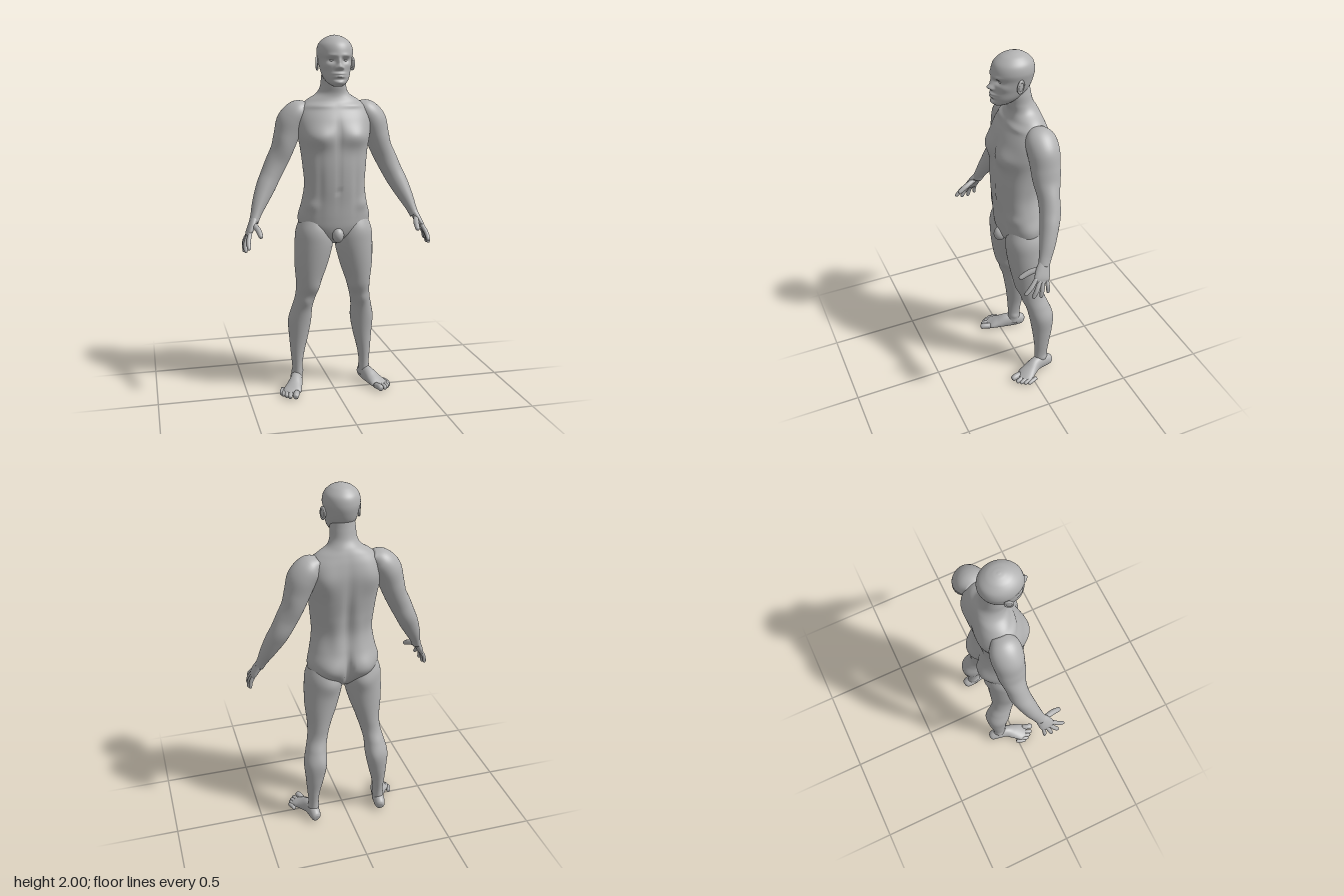
import * as THREE from 'three';

const skin = new THREE.MeshStandardMaterial({ color: 0xb2b2b2 });
skin.name = 'skin grey';

const X = new THREE.Vector3(1, 0, 0), Y = new THREE.Vector3(0, 1, 0), Z = new THREE.Vector3(0, 0, 1);
const shaped = (c, e) => Math.sign(c) * Math.pow(Math.abs(c), 2 / e);

// Smooth loft through sections [x, y, z, halfWidth, halfDepth, roundness = 2].
// bumps [x, y, z, sx, sy, sz, amount] swell or dent the skin, mirrored about x = 0.
function loft(sections, { rows = 40, segs = 32, ref = Z, level = false, side = 1, bumps = [] } = {}) {
  const centre = new THREE.CatmullRomCurve3(sections.map(s => new THREE.Vector3(s[0], s[1], s[2])), false, 'catmullrom');
  const size = new THREE.CatmullRomCurve3(sections.map(s => new THREE.Vector3(s[3], s[4], s[5] ?? 2)), false, 'catmullrom');
  const pos = [], index = [];
  for (let i = 0; i <= rows + 2; i++) {
    const t = Math.min(Math.max((i - 1) / rows, 0), 1);
    const capped = i === 0 || i === rows + 2;
    const c = centre.getPoint(t), s = size.getPoint(t), dir = centre.getTangent(t);
    const u = level ? X : new THREE.Vector3().crossVectors(dir, ref).normalize();
    const v = level ? Z : new THREE.Vector3().crossVectors(u, dir).normalize();
    for (let j = 0; j < segs; j++) {
      const th = (j / segs) * Math.PI * 2, cos = Math.cos(th), sin = Math.sin(th);
      const p = c.clone();
      if (!capped) {
        p.addScaledVector(u, s.x * shaped(cos, s.z)).addScaledVector(v, s.y * shaped(sin, s.z));
        const out = u.clone().multiplyScalar(cos / s.x).addScaledVector(v, sin / s.y).normalize();
        let push = 0;
        for (const [bx, by, bz, sx, sy, sz, amount] of bumps) {
          const dx = (Math.abs(p.x) - bx) / sx, dy = (p.y - by) / sy, dz = (p.z - bz) / sz;
          push += amount * Math.exp(-dx * dx - dy * dy - dz * dz);
        }
        p.addScaledVector(out, push);
      }
      pos.push(p.x * side, p.y, p.z);
      if (i < rows + 2) {
        const k = (j + 1) % segs, a = i * segs + j, b = i * segs + k, d = a + segs, e = b + segs;
        if (side > 0) index.push(a, d, b, b, d, e);
        else index.push(a, b, d, b, e, d);
      }
    }
  }
  const geo = new THREE.BufferGeometry();
  geo.setAttribute('position', new THREE.Float32BufferAttribute(pos, 3));
  geo.setIndex(index);
  geo.computeVertexNormals();
  return geo;
}

function add(group, name, geo) {
  const mesh = new THREE.Mesh(geo, skin);
  mesh.name = name;
  group.add(mesh);
  return mesh;
}

// Finger or toe: rounded tube through a base, a knuckle and a tip
function digit(base, knuckle, tip, r, ref, side) {
  const mix = (a, b, t) => a.map((n, i) => n + (b[i] - n) * t);
  return loft([
    [...base, r, r], [...knuckle, r * 1.05, r * 1.05], [...mix(knuckle, tip, 0.75), r * 0.9, r * 0.9],
    [...mix(knuckle, tip, 0.95), r * 0.6, r * 0.6], [...tip, r * 0.15, r * 0.15],
  ], { rows: 16, segs: 14, ref, side });
}

// Level sections given as [y, halfWidth, frontZ, backZ, roundness]
const stack = rows => rows.map(([y, w, f, b, e]) => [0, y, (f + b) / 2, w, (f - b) / 2, e]);

function createModel() {
  const model = new THREE.Group();
  model.name = 'standing figure';

  // Torso and neck
  add(model, 'torso', loft(stack([
    [0.87, 0.04, 0.03, -0.07], [0.91, 0.12, 0.075, -0.105], [0.96, 0.185, 0.093, -0.13], [1.02, 0.202, 0.1, -0.138],
    [1.1, 0.182, 0.105, -0.128, 2.2], [1.2, 0.168, 0.114, -0.112, 2.3], [1.3, 0.175, 0.117, -0.125, 2.3],
    [1.4, 0.186, 0.112, -0.143, 2.3], [1.48, 0.2, 0.108, -0.152, 2.3], [1.55, 0.205, 0.09, -0.155, 2.2],
    [1.61, 0.19, 0.06, -0.148, 2.1], [1.655, 0.145, 0.037, -0.136], [1.69, 0.092, 0.03, -0.122],
    [1.73, 0.071, 0.038, -0.1], [1.78, 0.067, 0.045, -0.088], [1.83, 0.06, 0.04, -0.08],
  ]), {
    rows: 110, segs: 96, level: true, bumps: [
      [0.095, 1.46, 0.1, 0.075, 0.055, 0.09, 0.024],    // chest muscles
      [0, 1.47, 0.12, 0.016, 0.08, 0.06, -0.008],       // breastbone
      [0.09, 1.0, -0.13, 0.075, 0.075, 0.08, 0.032],    // buttocks
      [0, 0.98, -0.13, 0.018, 0.09, 0.08, -0.03],       // cleft
      [0, 1.32, -0.13, 0.025, 0.22, 0.06, -0.014],      // spine groove
      [0.06, 1.2, -0.11, 0.035, 0.13, 0.05, 0.008],     // lower back
      [0.12, 1.53, -0.14, 0.065, 0.08, 0.06, 0.016],    // shoulder blades
      [0.1, 1.628, 0.03, 0.08, 0.014, 0.06, 0.008],     // collarbones
      [0, 1.25, 0.12, 0.012, 0.14, 0.05, -0.005],       // midline
      [0, 1.17, 0.115, 0.012, 0.012, 0.04, -0.008],     // navel
      [0.1, 1.2, 0.1, 0.02, 0.16, 0.05, -0.005],        // sides of abdomen
      [0.14, 1.09, 0.06, 0.04, 0.03, 0.05, 0.008],      // hip crests
    ],
  }));
  const groin = add(model, 'groin', new THREE.SphereGeometry(1, 20, 14));
  groin.scale.set(0.032, 0.042, 0.035);
  groin.position.set(0, 0.925, 0.085);

  // Head, with the features swollen or dented from the skull
  const head = new THREE.Group();
  head.name = 'head';
  model.add(head);
  add(head, 'skull and face', loft(stack([
    [1.732, 0.025, 0.105, 0.045], [1.75, 0.05, 0.12, 0.0], [1.78, 0.07, 0.121, -0.045], [1.82, 0.081, 0.117, -0.082],
    [1.87, 0.09, 0.115, -0.102], [1.91, 0.097, 0.118, -0.107], [1.95, 0.088, 0.104, -0.097],
    [1.98, 0.06, 0.07, -0.066], [1.995, 0.028, 0.034, -0.034], [2.0, 0.004, 0.006, -0.006],
  ]), {
    rows: 120, segs: 128, level: true, bumps: [
      [0, 1.833, 0.125, 0.016, 0.013, 0.06, 0.024],     // nose tip
      [0, 1.858, 0.12, 0.012, 0.026, 0.06, 0.015],      // nose bridge
      [0.016, 1.827, 0.12, 0.009, 0.009, 0.04, 0.008],  // nostrils
      [0.036, 1.867, 0.1, 0.021, 0.013, 0.05, -0.015],  // eye sockets
      [0.035, 1.892, 0.105, 0.03, 0.011, 0.05, 0.006],  // brows
      [0.06, 1.84, 0.08, 0.025, 0.02, 0.04, 0.005],     // cheekbones
      [0, 1.798, 0.12, 0.028, 0.007, 0.05, 0.011],      // upper lip
      [0, 1.783, 0.12, 0.024, 0.007, 0.05, 0.011],      // lower lip
      [0, 1.768, 0.12, 0.03, 0.007, 0.05, -0.005],      // dip over chin
      [0, 1.75, 0.12, 0.025, 0.012, 0.05, 0.006],       // chin
    ],
  }));

  for (const side of [1, -1]) {
    const label = side > 0 ? 'left' : 'right';
    const half = name => {
      const g = new THREE.Group();
      g.name = `${label} ${name}`;
      model.add(g);
      return g;
    };

    // Eye and ear
    const eye = add(head, `${label} eye`, new THREE.SphereGeometry(1, 18, 12));
    eye.scale.set(0.015, 0.009, 0.012);
    eye.position.set(0.036 * side, 1.867, 0.083);
    const ear = new THREE.Group();
    ear.name = `${label} ear`;
    ear.position.set(0.097 * side, 1.85, 0.005);
    ear.rotation.set(-0.15, 0.35 * side, 0);
    head.add(ear);
    add(ear, 'ear rim', new THREE.TorusGeometry(0.02, 0.006, 10, 24)).rotation.y = Math.PI / 2;
    add(ear, 'ear bowl', new THREE.SphereGeometry(0.02, 16, 12)).scale.set(0.3, 1, 1);
    ear.scale.set(1, 1.45, 0.9);

    // Arm
    const arm = half('arm');
    add(arm, 'shoulder and arm', loft([
      [0.14, 1.625, -0.06, 0.03, 0.045], [0.185, 1.595, -0.06, 0.066, 0.078], [0.226, 1.54, -0.062, 0.073, 0.084],
      [0.256, 1.46, -0.06, 0.068, 0.074], [0.28, 1.39, -0.057, 0.061, 0.064], [0.314, 1.32, -0.054, 0.06, 0.056],
      [0.348, 1.25, -0.047, 0.056, 0.055], [0.378, 1.19, -0.03, 0.053, 0.05], [0.416, 1.11, -0.003, 0.041, 0.042],
      [0.441, 1.05, 0.02, 0.029, 0.034], [0.456, 1.01, 0.035, 0.025, 0.031],
    ], {
      rows: 70, segs: 40, side, bumps: [
        [0.3, 1.57, -0.05, 0.05, 0.07, 0.07, 0.008],    // deltoid
        [0.28, 1.42, 0.01, 0.05, 0.07, 0.04, 0.007],    // biceps
        [0.29, 1.4, -0.12, 0.06, 0.08, 0.04, 0.008],    // triceps
      ],
    }));
    add(arm, 'palm', loft([
      [0.448, 1.035, 0.026, 0.022, 0.028], [0.468, 0.995, 0.045, 0.02, 0.038],
      [0.486, 0.96, 0.058, 0.016, 0.042], [0.496, 0.935, 0.066, 0.009, 0.034],
    ], { rows: 20, segs: 28, side }));
    [ // base, knuckle, tip, radius
      [[0.482, 0.965, 0.085], [0.497, 0.925, 0.122], [0.5, 0.886, 0.16], 0.0115],
      [[0.488, 0.955, 0.07], [0.508, 0.91, 0.095], [0.513, 0.864, 0.12], 0.012],
      [[0.488, 0.955, 0.052], [0.51, 0.908, 0.066], [0.517, 0.858, 0.078], 0.0115],
      [[0.484, 0.96, 0.033], [0.507, 0.917, 0.035], [0.515, 0.873, 0.035], 0.01],
      [[0.458, 1.0, 0.055], [0.442, 0.98, 0.11], [0.434, 0.95, 0.164], 0.0145],
    ].forEach(([a, b, c, r], i) => add(arm, i < 4 ? `finger ${i + 1}` : 'thumb', digit(a, b, c, r, i < 4 ? Z : X, side)));

    // Leg
    const leg = half('leg');
    add(leg, 'thigh and shin', loft([
      [0.2, 0.04, -0.09, 0.03, 0.042], [0.2, 0.12, -0.09, 0.029, 0.039], [0.198, 0.2, -0.093, 0.038, 0.046],
      [0.19, 0.3, -0.097, 0.054, 0.06], [0.184, 0.4, -0.092, 0.066, 0.071], [0.174, 0.48, -0.072, 0.059, 0.068],
      [0.159, 0.55, -0.05, 0.058, 0.066], [0.145, 0.63, -0.032, 0.067, 0.083], [0.129, 0.75, -0.022, 0.093, 0.098],
      [0.114, 0.87, -0.018, 0.107, 0.108], [0.113, 0.95, -0.018, 0.1, 0.106], [0.11, 1.03, -0.02, 0.07, 0.08],
    ], {
      rows: 100, segs: 48, level: true, side, bumps: [
        [0.165, 0.53, 0.01, 0.03, 0.035, 0.04, 0.008],  // kneecap
        [0.11, 0.61, 0.02, 0.03, 0.05, 0.04, 0.008],    // inner thigh muscle
        [0.15, 0.4, -0.16, 0.03, 0.07, 0.04, 0.007],    // calf
        [0.09, 0.9, -0.13, 0.06, 0.05, 0.05, 0.012],    // under the buttock
        [0.17, 0.095, -0.085, 0.015, 0.015, 0.02, 0.006],
        [0.23, 0.085, -0.095, 0.015, 0.015, 0.02, 0.006], // ankle bones
      ],
    }));
    add(leg, 'foot', loft([
      [0.198, 0.034, -0.158, 0.014, 0.018], [0.2, 0.037, -0.145, 0.028, 0.033], [0.204, 0.046, -0.105, 0.034, 0.045],
      [0.215, 0.047, -0.05, 0.036, 0.046], [0.236, 0.034, 0, 0.046, 0.033],
      [0.256, 0.023, 0.04, 0.052, 0.021], [0.266, 0.016, 0.07, 0.036, 0.012],
    ], { rows: 36, segs: 32, ref: Y, side }));
    [[0.25, 0.122, 0.017], [0.279, 0.106, 0.0125], [0.296, 0.088, 0.012], [0.309, 0.068, 0.0115], [0.318, 0.046, 0.011]]
      .forEach(([x, z, r], i) => add(leg, `toe ${i + 1}`,
        digit([x - 0.018, 0.02, z - 0.06], [x - 0.006, r + 0.006, z - 0.025], [x, r, z], r, Y, side)));
  }
  return model;
}

export { createModel };
